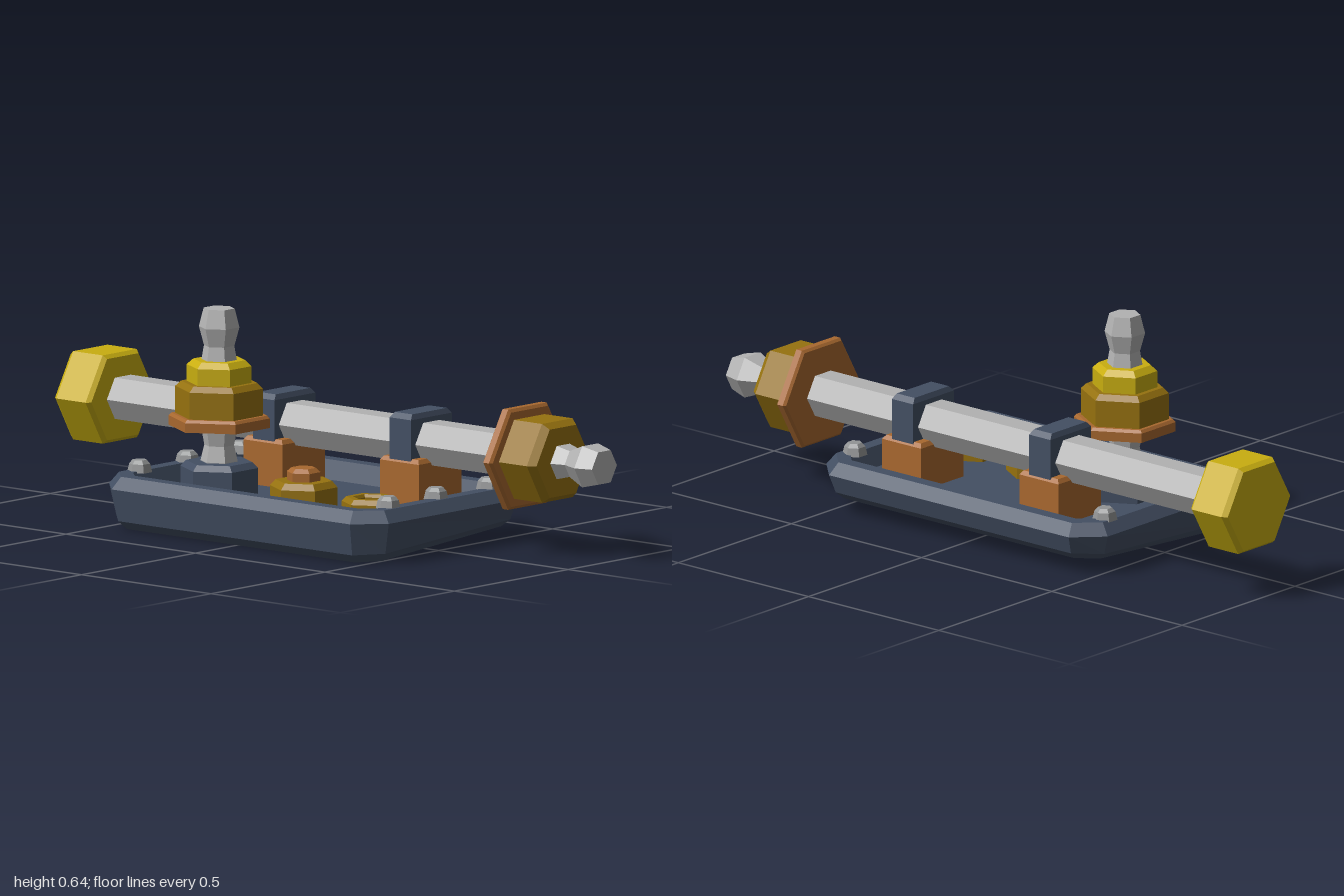
import * as THREE from 'three';

const mat = (name, color) => {
  const m = new THREE.MeshStandardMaterial({ color });
  m.name = name;
  return m;
};

// Faceted normals for the low-poly look
function facet(geometry) {
  const g = geometry.index ? geometry.toNonIndexed() : geometry;
  g.computeVertexNormals();
  return g;
}

// Six-sided turned solid from [radius, height] pairs, corners pointing along z
function hex(points) {
  return facet(new THREE.LatheGeometry(points.map(([r, y]) => new THREE.Vector2(r, y)), 6));
}
const hexSolid = (points) => hex([[0, points[0][1]], ...points, [0, points[points.length - 1][1]]]);

// Closed solid skinned over rings of equal point count, listed bottom to top
function loft(rings) {
  const pos = [];
  const tri = (a, b, c) => pos.push(...a, ...b, ...c);
  const n = rings[0].length;
  const middle = (ring) => [0, 1, 2].map((k) => ring.reduce((s, p) => s + p[k], 0) / n);
  const low = rings[0], high = rings[rings.length - 1];
  const lowMid = middle(low), highMid = middle(high);
  for (let j = 0; j < n; j++) {
    const k = (j + 1) % n;
    tri(lowMid, low[j], low[k]);
    tri(highMid, high[k], high[j]);
    for (let i = 0; i < rings.length - 1; i++) {
      const a = rings[i], b = rings[i + 1];
      tri(a[j], b[j], b[k]);
      tri(a[j], b[k], a[k]);
    }
  }
  const g = new THREE.BufferGeometry();
  g.setAttribute('position', new THREE.Float32BufferAttribute(pos, 3));
  return facet(g);
}

const rect = (hx, hz, y) => [[hx, y, -hz], [hx, y, hz], [-hx, y, hz], [-hx, y, -hz]];

// Cut-corner tray outline; lift raises the rear edge of the underside
function trayRing(inset, y, lift = 0) {
  const hx = 0.54 - inset, hz = 0.362 - inset, c = 0.08 - inset * 0.58;
  return [
    [hx, -hz + c], [hx, hz - c], [hx - c, hz], [-hx + c, hz],
    [-hx, hz - c], [-hx, -hz + c], [-hx + c, -hz], [hx - c, -hz],
  ].map(([x, z]) => [x, y + lift * (0.5 - z / (2 * hz)), z]);
}

export function createModel() {
  const model = new THREE.Group();
  model.name = 'valveAssembly';

  const navy = mat('navy', 0x434f63);
  const steel = mat('steel', 0xb2b2b2);
  const boltGrey = mat('boltGrey', 0x939596);
  const copper = mat('copper', 0xa8682f);
  const gold = mat('gold', 0x96720f);
  const yellow = mat('yellow', 0xc9ae10);

  const add = (parent, name, geometry, material, x = 0, y = 0, z = 0) => {
    const mesh = new THREE.Mesh(geometry, material);
    mesh.name = name;
    mesh.position.set(x, y, z);
    parent.add(mesh);
    return mesh;
  };
  const floor = 0.1;

  // Recessed base tray
  add(model, 'baseTray', loft([
    trayRing(0.045, 0, 0.043),
    trayRing(0.02, 0.025, 0.04),
    trayRing(0, 0.12),
    trayRing(0.028, 0.155),
    trayRing(0.068, 0.155),
    trayRing(0.09, floor),
  ]), navy, 0.015);

  // Rim bolts, three on each side
  const bolt = hexSolid([[0.037, 0.15], [0.031, 0.175], [0.021, 0.186]]);
  for (const x of [-0.47, 0.49]) {
    for (const z of [0.21, 0, -0.23]) add(model, 'rimBolt', bolt, boltGrey, x, 0, z);
  }

  // Horizontal pipe, built upright and laid along x
  const pipe = new THREE.Group();
  pipe.name = 'horizontalPipe';
  pipe.position.set(0, 0.28, -0.159);
  pipe.rotation.z = -Math.PI / 2;
  model.add(pipe);
  add(pipe, 'pipeTube', hexSolid([[0.07, -0.87], [0.07, 0.69]]), steel);
  add(pipe, 'endCap', hexSolid([[0.138, -1], [0.15, -0.985], [0.15, -0.872], [0.138, -0.86]]), yellow);
  add(pipe, 'pipeFlange', hexSolid([[0.162, 0.675], [0.17, 0.682], [0.17, 0.703], [0.16, 0.71]]), copper);
  add(pipe, 'pipeNut', hexSolid([[0.134, 0.708], [0.134, 0.818], [0.116, 0.84]]), gold);
  add(pipe, 'pipeTip', hexSolid([[0.056, 0.83], [0.056, 0.842], [0.044, 0.885], [0.07, 0.945], [0.055, 1]]), steel);

  // Pipe clamps: block and strap
  const block = loft([rect(0.075, 0.094, floor), rect(0.075, 0.094, 0.228), rect(0.066, 0.085, 0.24)]);
  const strap = loft([rect(0.041, 0.09, 0.23), rect(0.041, 0.09, 0.355), rect(0.034, 0.076, 0.37)]);
  for (const x of [-0.237, 0.29]) {
    add(model, 'clampBlock', block, copper, x, 0, -0.16);
    add(model, 'clampStrap', strap, navy, x, 0, -0.16);
  }

  // Vertical valve
  const valve = new THREE.Group();
  valve.name = 'verticalValve';
  valve.position.set(-0.245, 0, 0.117);
  model.add(valve);
  add(valve, 'valveBase', hexSolid([[0.115, floor], [0.115, 0.178], [0.098, 0.195]]), navy);
  add(valve, 'valveStem', hexSolid([[0.055, 0.18], [0.055, 0.197], [0.044, 0.243], [0.055, 0.3]]), steel);
  add(valve, 'valveFlange', hexSolid([[0.15, 0.297], [0.15, 0.325], [0.142, 0.333]]), copper);
  add(valve, 'valveNut', hexSolid([[0.13, 0.33], [0.13, 0.412], [0.113, 0.428]]), gold);
  add(valve, 'valveCollar', hexSolid([[0.096, 0.425], [0.096, 0.477], [0.077, 0.494]]), yellow);
  add(valve, 'valveTip', hexSolid([[0.053, 0.49], [0.045, 0.535], [0.06, 0.59], [0.046, 0.645]]), steel);

  // Capped port
  add(model, 'portNut', hexSolid([[0.1, floor], [0.1, 0.157], [0.084, 0.175]]), gold, 0.08, 0, 0.115);
  add(model, 'portPlug', hexSolid([[0.05, 0.17], [0.05, 0.2], [0.036, 0.212]]), copper, 0.08, 0, 0.115);

  // Open port
  add(model, 'openPortRing', hex([
    [0.083, floor], [0.083, 0.14], [0.07, 0.154], [0.05, 0.154], [0.044, 0.145], [0.044, floor],
  ]), gold, 0.335, 0, 0.115);

  return model;
}
